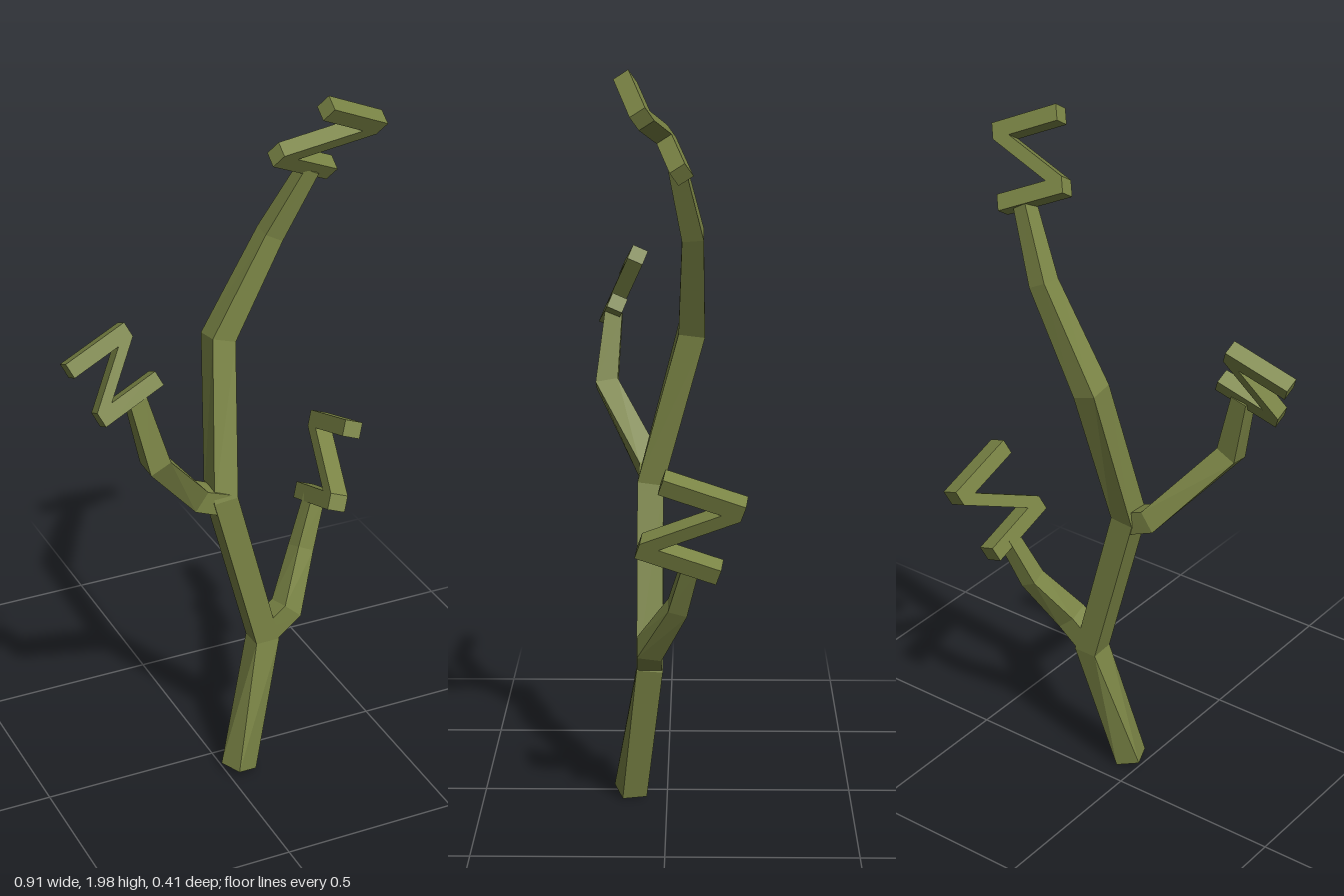
import * as THREE from 'three';

const bark = new THREE.MeshStandardMaterial({ color: 0x7a8445, flatShading: true });

// Square-section limb through points [x, y, z, halfWidth, twist]
function limb(name, pts) {
  const P = pts.map(p => new THREE.Vector3(p[0], p[1], p[2]));
  const pos = [], index = [];
  P.forEach((p, i) => {
    const t = new THREE.Vector3();
    if (i > 0) t.add(p.clone().sub(P[i - 1]).normalize());
    if (i < P.length - 1) t.add(P[i + 1].clone().sub(p).normalize());
    t.normalize();
    const f = new THREE.Vector3(0, 0, 1).addScaledVector(t, -t.z).normalize();
    f.applyAxisAngle(t, pts[i][4] || 0);
    const s = t.clone().cross(f);
    const h = pts[i][3];
    for (const [a, b] of [[1, 1], [1, -1], [-1, -1], [-1, 1]]) {
      const c = p.clone().addScaledVector(s, a * h).addScaledVector(f, b * h);
      pos.push(c.x, c.y, c.z);
    }
    if (i === 0) return;
    for (let k = 0; k < 4; k++) {
      const a = (i - 1) * 4 + k, b = (i - 1) * 4 + (k + 1) % 4;
      index.push(a, b, b + 4, a, b + 4, a + 4);
    }
  });
  const e = (P.length - 1) * 4;
  index.push(2, 1, 0, 3, 2, 0, e, e + 1, e + 2, e, e + 2, e + 3);
  const g = new THREE.BufferGeometry();
  g.setAttribute('position', new THREE.Float32BufferAttribute(pos, 3));
  g.setIndex(index);
  const flat = g.toNonIndexed();
  flat.computeVertexNormals();
  const m = new THREE.Mesh(flat, bark);
  m.name = name;
  return m;
}

// Zigzag tip: two parallel bars joined by a diagonal, placed by its bar centres
function zigzag(name, lower, upper, along, length, thick, depth) {
  const lo = new THREE.Vector3(...lower), up = new THREE.Vector3(...upper);
  const u = new THREE.Vector3(...along).normalize();
  const v = up.clone().sub(lo);
  v.addScaledVector(u, -v.dot(u));
  const a = length / 2, b = v.length() / 2 + thick / 2, d = thick * 1.1;
  v.normalize();
  const n = u.clone().cross(v);
  const shape = new THREE.Shape([
    [-a, -b], [a, -b], [a, -b + thick], [-a + d, -b + thick], [a, b - thick],
    [a, b], [-a, b], [-a, b - thick], [a - d, b - thick], [-a, -b + thick],
  ].map(q => new THREE.Vector2(...q)));
  const g = new THREE.ExtrudeGeometry(shape, { depth, bevelEnabled: false });
  g.translate(0, 0, -depth / 2);
  const m = new THREE.Mesh(g, bark);
  m.name = name;
  m.applyMatrix4(new THREE.Matrix4().makeBasis(u, v, n).setPosition(lo.add(up).multiplyScalar(0.5)));
  return m;
}

export function createModel() {
  const model = new THREE.Group();
  model.name = 'branch';
  model.add(
    // Main stem and its two side branches
    limb('mainStem', [
      [0.038, 0.02, 0.1, 0.035, 0.35], [0.135, 0.4, 0.045, 0.035],
      [0.006, 0.88, 0.045, 0.035], [0.048, 1.3, -0.065, 0.035],
      [0.198, 1.57, -0.068, 0.028], [0.288, 1.755, -0.028, 0.022],
    ]),
    limb('leftBranch', [
      [0.13, 0.415, 0.045, 0.033], [0.208, 0.475, 0.045, 0.033],
      [0.288, 0.61, -0.03, 0.026], [0.345, 0.745, -0.065, 0.022],
    ]),
    limb('rightBranch', [
      [0.01, 0.868, 0.045, 0.032], [-0.07, 0.9, 0.045, 0.032],
      [-0.238, 1.105, 0.17, 0.031], [-0.285, 1.295, 0.152, 0.024],
    ]),
    // Zigzag tips
    zigzag('topZigzag', [0.282, 1.772, -0.022], [0.337, 1.932, 0.083], [0.175, -0.08, -0.045], 0.2, 0.045, 0.045),
    zigzag('leftZigzag', [0.348, 0.755, -0.04], [0.42, 0.942, -0.09], [0, -0.07, -0.21], 0.22, 0.046, 0.053),
    zigzag('rightZigzag', [-0.306, 1.297, 0.155], [-0.365, 1.422, 0.1], [0.175, 0.07, -0.03], 0.187, 0.042, 0.045),
  );
  return model;
}
